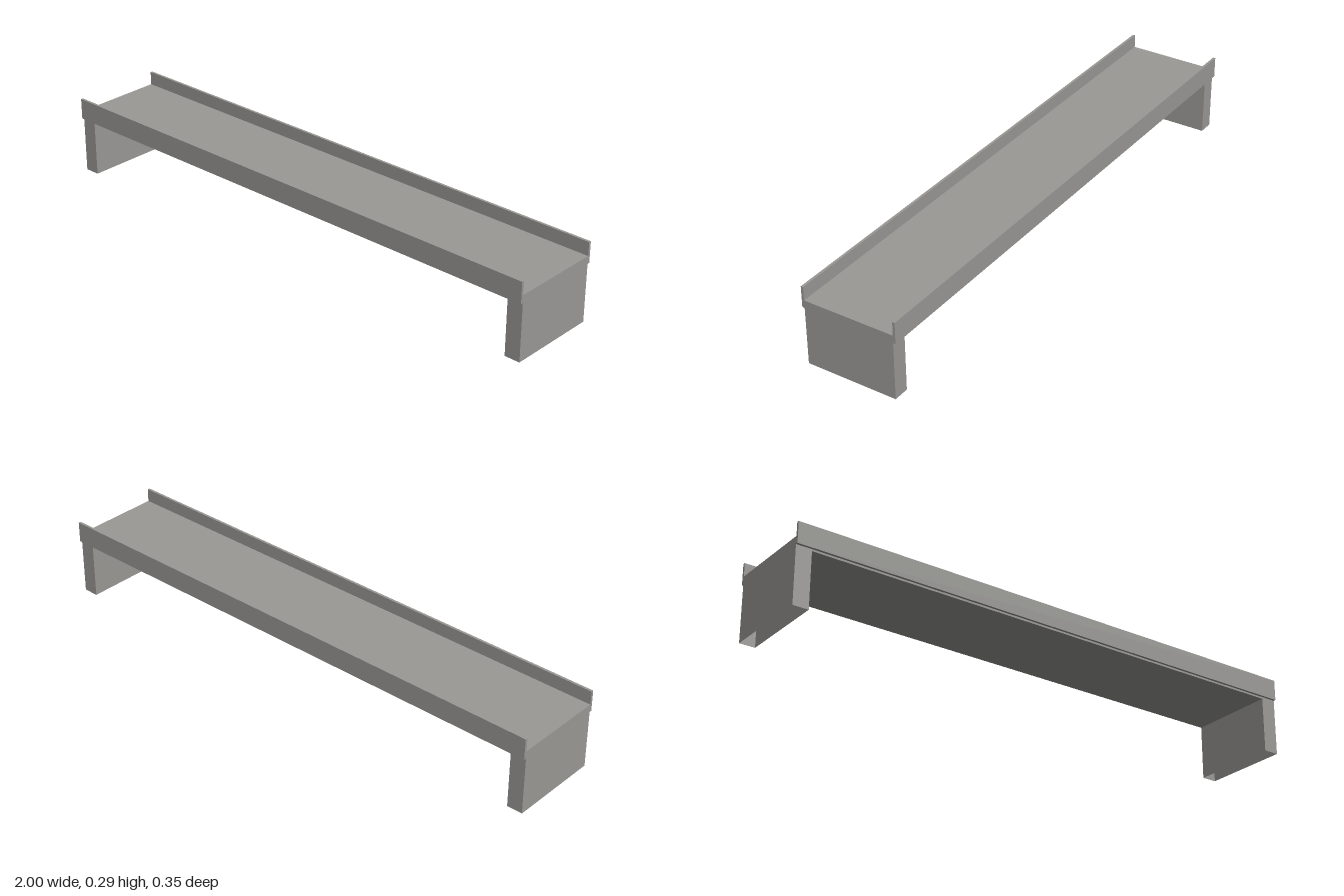
import * as THREE from 'three';

// Box spanning two corners, optionally leaving out faces (0..5 = +x,-x,+y,-y,+z,-z)
function box(name, material, min, max, omit = []) {
  const size = max.map((v, i) => v - min[i]);
  const geo = new THREE.BoxGeometry(...size);
  const index = Array.from(geo.index.array);
  geo.setIndex(index.filter((_, i) => !omit.includes(Math.floor(i / 6))));
  geo.clearGroups();
  geo.translate(...max.map((v, i) => (v + min[i]) / 2));
  const mesh = new THREE.Mesh(geo, material);
  mesh.name = name;
  return mesh;
}

export function createModel() {
  const group = new THREE.Group();
  group.name = 'lowBench';
  const grey = new THREE.MeshStandardMaterial({ color: 0x9a9996, side: THREE.DoubleSide });
  grey.name = 'warm grey';

  const halfDepth = 0.167, outer = 0.176, inner = 0.943;
  const deckTop = 0.237, deckBottom = 0.202;

  // Deck between the two end supports
  group.add(box('deck', grey, [-inner, deckBottom, -halfDepth], [inner, deckTop, halfDepth], [0, 1]));

  // Hollow end supports, open underneath
  group.add(box('leftSupport', grey, [inner, 0, -halfDepth], [1, deckTop, halfDepth], [3]));
  group.add(box('rightSupport', grey, [-1, 0, -halfDepth], [-inner, deckTop, halfDepth], [3]));

  // Thin side rails along the long edges
  group.add(box('frontRail', grey, [-1, 0.209, halfDepth], [1, 0.286, outer]));
  group.add(box('backRail', grey, [-1, 0.209, -outer], [1, 0.286, -halfDepth]));

  return group;
}
